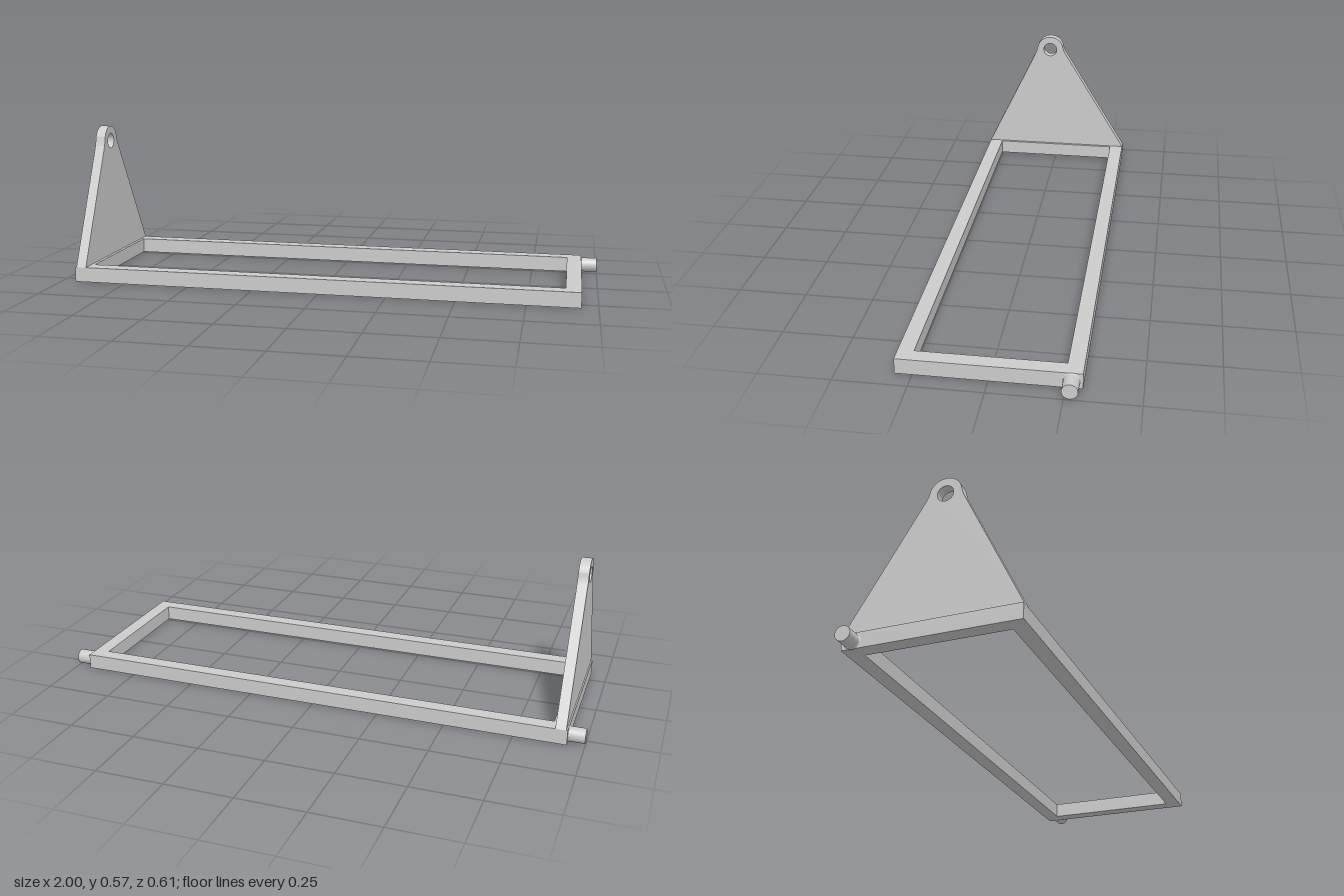
import * as THREE from 'three';

export function createModel() {
  const model = new THREE.Group();
  const material = new THREE.MeshStandardMaterial({ color: 0xcccccc });
  const add = (name, geometry) => {
    const mesh = new THREE.Mesh(geometry, material);
    mesh.name = name;
    model.add(mesh);
    return mesh;
  };

  const rectangle = (target, x, y) => {
    target.moveTo(-x, -y);
    target.lineTo(x, -y);
    target.lineTo(x, y);
    target.lineTo(-x, y);
    target.closePath();
    return target;
  };

  // Flat rectangular frame, open in the middle
  const outline = rectangle(new THREE.Shape(), 0.94, 0.307);
  outline.holes.push(rectangle(new THREE.Path(), 0.885, 0.252));
  const frame = new THREE.ExtrudeGeometry(outline, { depth: 0.056, bevelEnabled: false });
  frame.rotateX(-Math.PI / 2).translate(0, 0.003, 0);
  add('frame', frame);

  // Triangular side plate with a rounded, drilled tip, drawn in z and y
  const tip = { z: 0.031, y: 0.512, radius: 0.058 };
  const side = new THREE.Shape();
  side.moveTo(0.307, 0.059);
  side.lineTo(0.0955, 0.495);
  side.quadraticCurveTo(0.09, 0.511, 0.0855, 0.532);
  side.absarc(tip.z, tip.y, tip.radius, Math.PI / 9, Math.PI * 8 / 9, false);
  side.quadraticCurveTo(-0.027, 0.513, -0.036, 0.497);
  side.lineTo(-0.307, 0.059);
  side.closePath();
  const hole = new THREE.Path();
  hole.absarc(tip.z, tip.y, 0.029, 0, Math.PI * 2, true);
  side.holes.push(hole);
  const plate = new THREE.ExtrudeGeometry(side, { depth: 0.038, bevelEnabled: false, curveSegments: 32 });
  plate.rotateY(-Math.PI / 2).translate(-0.897, 0, 0);
  add('sidePlate', plate);

  // Pivot pins at the rear corners, each with a small fillet at its root
  const fillet = [[0.03, 0], [0.0283, 0.0008], [0.0273, 0.002], [0.027, 0.004], [0.027, 0.06]];
  const profile = fillet.map(([r, h]) => new THREE.Vector2(r, h));
  for (const [name, sign] of [['leftPin', 1], ['rightPin', -1]]) {
    const pin = new THREE.Group();
    pin.name = name;
    const shaft = new THREE.Mesh(new THREE.LatheGeometry(profile, 40), material);
    shaft.name = name + 'Shaft';
    const cap = new THREE.Mesh(new THREE.CircleGeometry(0.027, 40).rotateX(-Math.PI / 2), material);
    cap.name = name + 'End';
    cap.position.y = 0.06;
    pin.add(shaft, cap);
    pin.rotation.z = -sign * Math.PI / 2;
    pin.position.set(sign * 0.94, 0.03, -0.27);
    model.add(pin);
  }

  return model;
}
